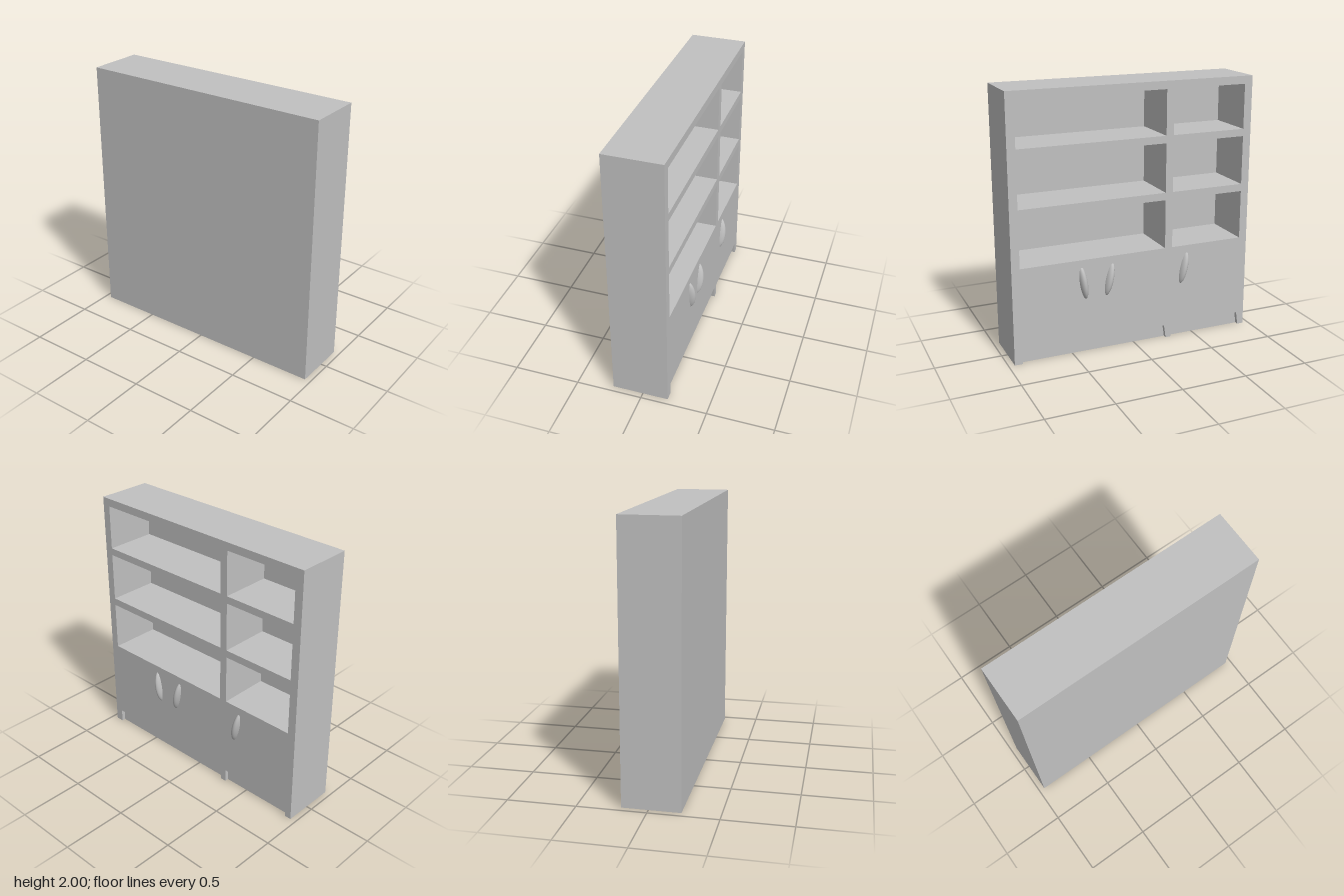
import * as THREE from 'three';

export function createModel() {
  const model = new THREE.Group();
  const grey = new THREE.MeshStandardMaterial({ color: 0xc0c0c0 });
  grey.name = 'plain grey';

  const W = 0.955, H = 2;
  const zOpen = -0.192, zKick = -0.162, zPanel = 0.2, zWall = 0.23;
  const columns = [[-0.892, -0.307], [-0.248, 0.892]];
  const rows = [[0.736, 1.113], [1.17, 1.544], [1.6, 1.94]];
  const kickTop = 0.103;

  const add = (name, geometry, x = 0, y = 0, z = 0) => {
    const mesh = new THREE.Mesh(geometry, grey);
    mesh.name = name;
    mesh.position.set(x, y, z);
    model.add(mesh);
    return mesh;
  };
  const toPoints = (list) => list.map(([x, y]) => new THREE.Vector2(x, y));

  // Outline pierced by the six shelf openings, extruded between two depths
  const addFrame = (name, outline, z0, z1) => {
    const shape = new THREE.Shape(toPoints(outline));
    for (const [x0, x1] of columns) {
      for (const [y0, y1] of rows) {
        shape.holes.push(new THREE.Path(toPoints([[x0, y0], [x0, y1], [x1, y1], [x1, y0]])));
      }
    }
    const geometry = new THREE.ExtrudeGeometry(shape, { depth: z1 - z0, bevelEnabled: false });
    add(name, geometry, 0, 0, z0);
  };

  // Cabinet carcass with shelves and divider
  addFrame('shelfCarcass', [[-W, 0], [W, 0], [W, H], [-W, H]], zKick, zPanel);

  // Face frame, notched at the bottom for the shallow kick recesses
  const faceOutline = [[-W, 0]];
  for (const [x0, x1] of columns) {
    faceOutline.push([x0 - 0.015, 0], [x0, kickTop], [x1, kickTop], [x1, 0]);
  }
  faceOutline.push([W, 0], [W, H], [-W, H]);
  addFrame('faceFrame', faceOutline, zOpen, zKick);

  // Solid panel closing the shelves
  add('closingPanel', new THREE.BoxGeometry(W * 2, H, zWall - zPanel), 0, H / 2, (zPanel + zWall) / 2);

  // Tilted oval door handles, partly sunk into the lower face
  for (const [x, tilt] of [[0.41, -0.14], [0.205, 0.21], [-0.41, 0.21]]) {
    const handle = add('doorHandle', new THREE.SphereGeometry(1, 32, 24), x, 0.555, zOpen + 0.022);
    handle.scale.set(0.033, 0.134, 0.06);
    handle.rotation.z = tilt;
  }

  return model;
}
